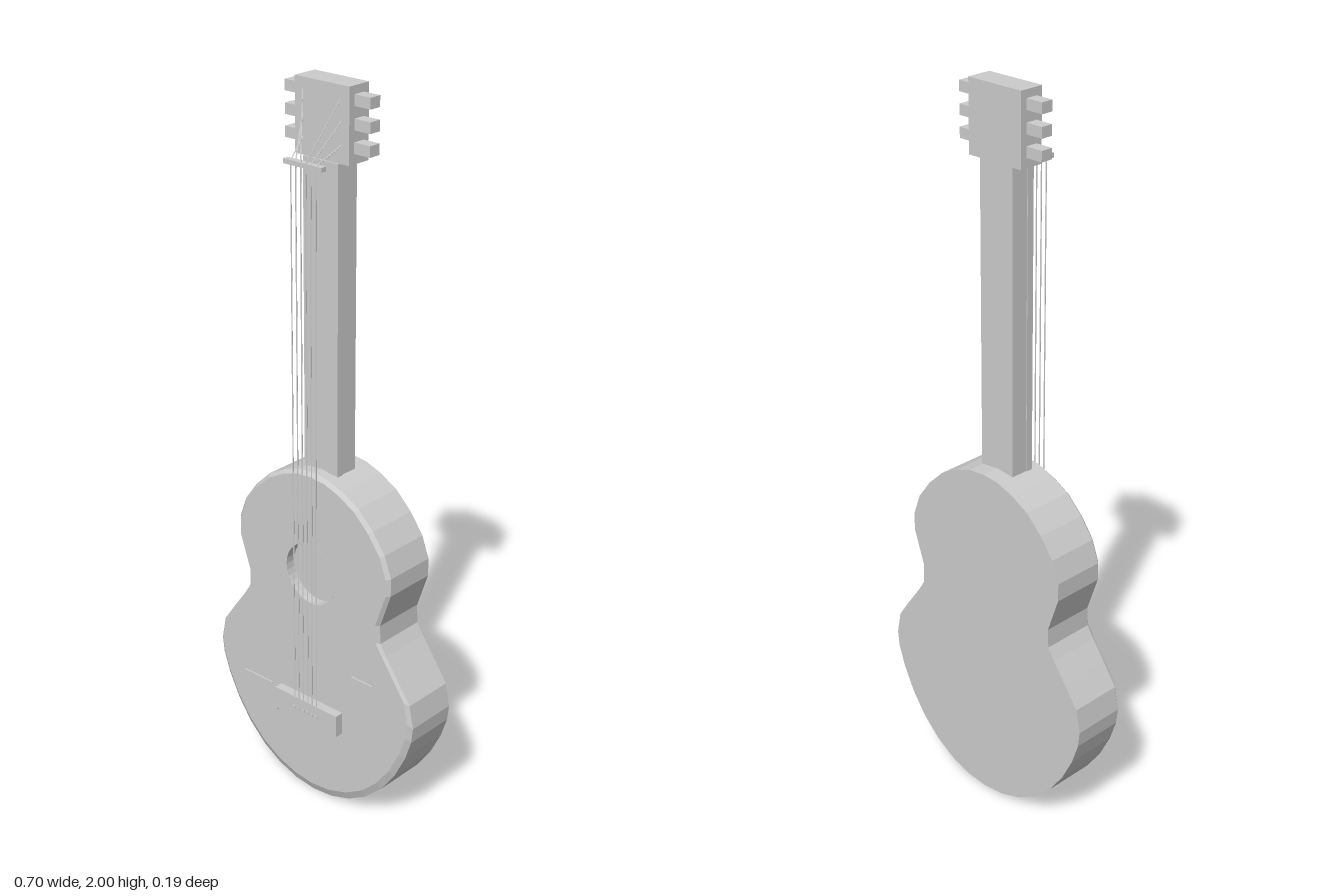
import * as THREE from 'three';

const grey = new THREE.MeshStandardMaterial({ color: 0xcccccc, flatShading: true, side: THREE.DoubleSide });
grey.name = 'plain grey';

// right half of the body outline, bottom to top
const half = [
  [0, 0.005], [0.065, 0.012], [0.13, 0.034], [0.19, 0.07], [0.245, 0.122], [0.29, 0.185], [0.325, 0.255],
  [0.345, 0.315], [0.35, 0.36], [0.337, 0.425], [0.295, 0.485], [0.255, 0.54], [0.235, 0.572], [0.233, 0.625],
  [0.25, 0.675], [0.267, 0.725], [0.267, 0.775], [0.245, 0.835], [0.205, 0.89], [0.155, 0.938], [0.1, 0.968], [0.05, 0.985], [0, 0.99],
];
const outline = [...half, ...half.slice(1, -1).reverse().map(([x, y]) => [-x, y])].map(([x, y]) => new THREE.Vector2(x, y));
const inset = outline.map((p) => new THREE.Vector2(p.x * 0.965, 0.7 + (p.y - 0.7) * 0.965));

function add(parent, name, geometry, x = 0, y = 0, z = 0) {
  const mesh = new THREE.Mesh(geometry, grey);
  mesh.name = name;
  mesh.position.set(x, y, z);
  parent.add(mesh);
  return mesh;
}

// box given by its extents
function box(parent, name, x0, x1, y0, y1, z0, z1) {
  return add(parent, name, new THREE.BoxGeometry(x1 - x0, y1 - y0, z1 - z0), (x0 + x1) / 2, (y0 + y1) / 2, (z0 + z1) / 2);
}

// band of faces joining two outlines
function band(a, za, b, zb) {
  const pos = [];
  a.forEach((p, i) => {
    const j = (i + 1) % a.length;
    const q = a[j], r = b[j], s = b[i];
    pos.push(p.x, p.y, za, q.x, q.y, za, r.x, r.y, zb, p.x, p.y, za, r.x, r.y, zb, s.x, s.y, zb);
  });
  const g = new THREE.BufferGeometry();
  g.setAttribute('position', new THREE.Float32BufferAttribute(pos, 3));
  g.computeVertexNormals();
  return g;
}

function rod(parent, name, a, b, radius) {
  return add(parent, name, new THREE.TubeGeometry(new THREE.LineCurve3(a, b), 1, radius, 5));
}

export function createModel() {
  const guitar = new THREE.Group();
  guitar.name = 'guitar';

  // body: sides, bevelled front edge, soundboard with hole, back
  const body = new THREE.Group();
  body.name = 'body';
  guitar.add(body);
  add(body, 'sides', band(outline, -0.1, outline, 0.05));
  add(body, 'frontBevel', band(outline, 0.05, inset, 0.06));
  const top = new THREE.Shape(inset);
  top.holes.push(new THREE.Path().absarc(0, 0.695, 0.088, 0, Math.PI * 2, true));
  add(body, 'soundboard', new THREE.ShapeGeometry(top, 32), 0, 0, 0.06);
  const back = add(body, 'back', new THREE.ShapeGeometry(new THREE.Shape(outline)), 0, 0, -0.1);
  back.rotation.y = Math.PI;
  const wall = add(body, 'soundHoleWall', new THREE.CylinderGeometry(0.088, 0.088, 0.03, 32, 1, true), 0, 0.695, 0.045);
  wall.rotation.x = Math.PI / 2;
  add(body, 'soundHoleFloor', new THREE.CircleGeometry(0.088, 32), 0, 0.695, 0.03);

  // bridge and thin slivers on the soundboard
  box(guitar, 'bridge', -0.112, 0.112, 0.245, 0.31, 0.055, 0.085);
  box(guitar, 'leftSliver', 0.147, 0.22, 0.439, 0.441, 0.06, 0.065);
  box(guitar, 'rightSliver', -0.25, -0.143, 0.299, 0.301, 0.06, 0.065);
  box(guitar, 'bridgeSliver', -0.126, -0.124, 0.22, 0.3, 0.06, 0.065);

  // neck, fingerboard, head and nut
  box(guitar, 'neck', -0.055, 0.055, 0.97, 1.81, -0.05, 0);
  box(guitar, 'fingerboard', -0.057, 0.057, 0.97, 1.81, 0, 0.02);
  box(guitar, 'head', -0.087, 0.087, 1.81, 2, -0.055, 0.015);
  box(guitar, 'nut', -0.062, 0.062, 1.804, 1.816, 0.068, 0.085);

  // pegs and strings, mirrored; inner strings reach the upper pegs
  for (const side of [-1, 1]) {
    [1.85, 1.907, 1.965].forEach((y, i) => {
      add(guitar, 'peg', new THREE.BoxGeometry(0.054, 0.028, 0.034), side * 0.11, y, -0.02);
      const x = side * (0.04 - i * 0.016);
      const foot = new THREE.Vector3(x, 0.277, 0.083);
      const nut = new THREE.Vector3(x, 1.814, 0.081);
      rod(guitar, 'string', foot, nut, 0.0018);
      rod(guitar, 'stringEnd', nut, new THREE.Vector3(side * 0.062, y + 0.005, 0.015), 0.0018);
      add(guitar, 'bridgePin', new THREE.BoxGeometry(0.008, 0.008, 0.004), x, 0.277, 0.085);
    });
  }
  return guitar;
}
